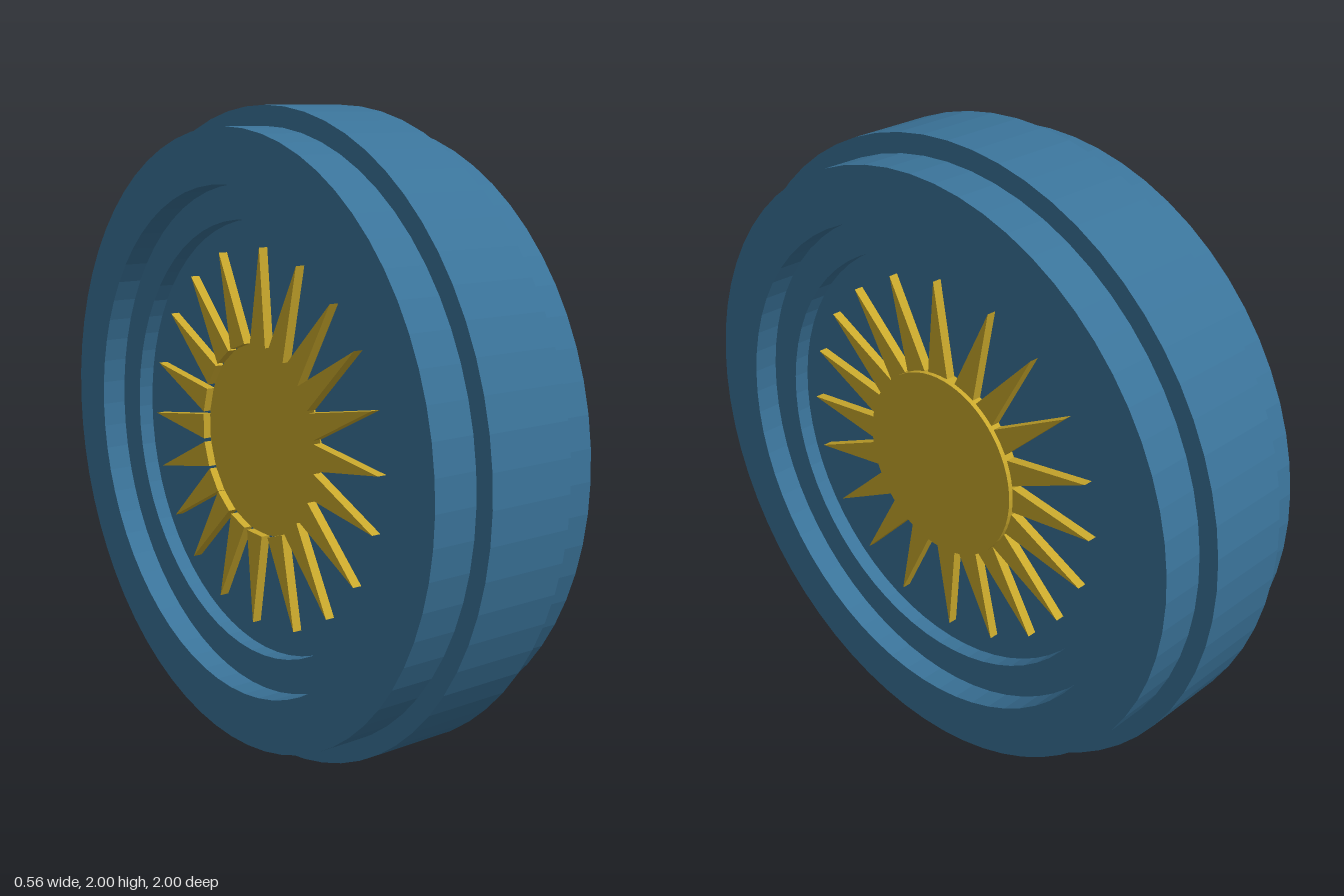
import * as THREE from 'three';

const blue = new THREE.MeshStandardMaterial({ color: 0x3a7399, flatShading: true });
const gold = new THREE.MeshStandardMaterial({ color: 0xc9a82c, flatShading: true });

function addMesh(parent, name, geometry, material) {
  const mesh = new THREE.Mesh(geometry, material);
  mesh.name = name;
  parent.add(mesh);
  return mesh;
}

export function createModel() {
  const group = new THREE.Group();
  group.name = 'sunWheel';
  group.position.y = 1;

  // Wheel body: half profile (radius, axial offset), mirrored to the other face
  const half = [
    [0, 0.15], [0.67, 0.15], [0.67, 0.2], [0.775, 0.2], [0.775, 0.28],
    [0.94, 0.28], [0.94, 0.14], [1, 0.14],
  ];
  const profile = [
    ...half.map(([r, a]) => new THREE.Vector2(r, -a)),
    ...half.slice().reverse().map(([r, a]) => new THREE.Vector2(r, a)),
  ];
  const wheel = new THREE.LatheGeometry(profile, 64);
  wheel.rotateZ(-Math.PI / 2);
  addMesh(group, 'wheelBody', wheel, blue);

  const sun = new THREE.Group();
  sun.name = 'sun';
  group.add(sun);

  // Sun disc: raised above the rays on +x, sunk between them on -x
  const disc = new THREE.CylinderGeometry(0.297, 0.297, 0.35, 64);
  disc.rotateZ(-Math.PI / 2);
  disc.translate(0.02, 0, 0);
  addMesh(sun, 'sunDisc', disc, gold);

  // Sun rays: tapered prisms running through the wheel, slightly uneven spacing
  const rayShape = new THREE.Shape([
    new THREE.Vector2(0.295, -0.04),
    new THREE.Vector2(0.59, 0),
    new THREE.Vector2(0.295, 0.04),
  ]);
  const angles = [92.3, 70.8, 52.7, 34.8, 16, -1.1, -18.6, -35.5, -51.2, -69.2];
  for (const turn of [0, 180]) {
    for (const angle of angles) {
      const ray = new THREE.ExtrudeGeometry(rayShape, { depth: 0.36, bevelEnabled: false });
      ray.translate(0, 0, -0.18);
      ray.rotateZ(THREE.MathUtils.degToRad(angle + turn));
      ray.rotateY(Math.PI / 2);
      addMesh(sun, 'sunRay', ray, gold);
    }
  }

  const model = new THREE.Group();
  model.name = 'model';
  model.add(group);
  return model;
}
